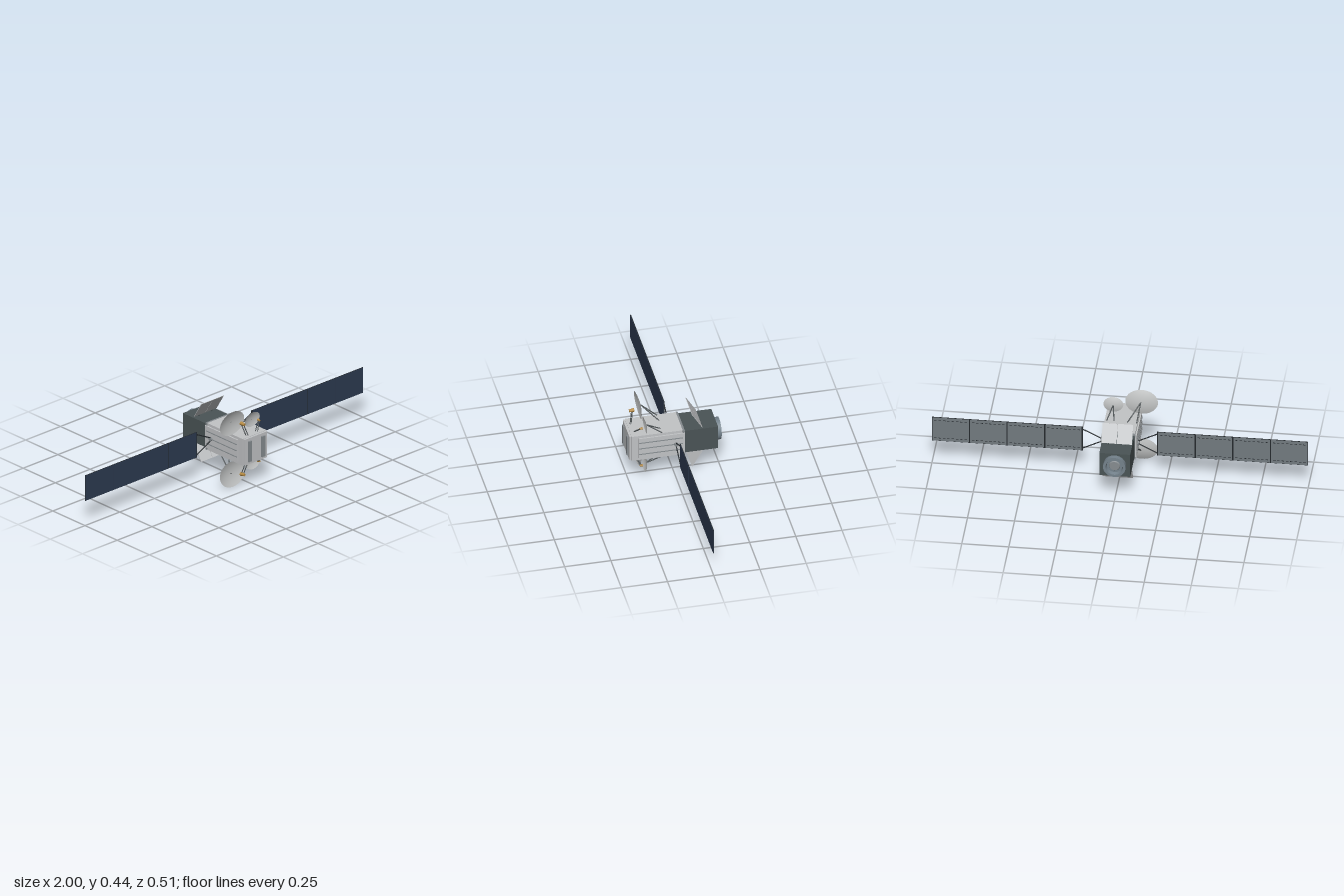
import * as THREE from 'three';

const mat = (name, color, side = THREE.FrontSide) => {
  const m = new THREE.MeshStandardMaterial({ color, side });
  m.name = name;
  return m;
};

export function createModel() {
  const model = new THREE.Group();
  model.name = 'satellite';
  const light = mat('light grey', 0xc2c4c6);
  const dishGrey = mat('dish grey', 0xc0c2c2, THREE.DoubleSide);
  const mid = mat('mid grey', 0x868c90);
  const slate = mat('dark slate', 0x4a5456);
  const steel = mat('blue steel', 0x74828c, THREE.DoubleSide);
  const black = mat('near black', 0x23282c);
  const strutGrey = mat('strut grey', 0x4c5254);
  const navy = mat('solar navy', 0x2c3a50);
  const backGrey = mat('panel back grey', 0x727a7f);
  const gold = mat('gold', 0xb58a42);
  const CY = 0.2225;

  const add = (name, geo, material, x = 0, y = 0, z = 0, parent = model) => {
    const m = new THREE.Mesh(geo, material);
    m.name = name;
    m.position.set(x, y, z);
    parent.add(m);
    return m;
  };
  // Box from its min and max on each axis
  const box = (name, material, x0, x1, y0, y1, z0, z1, parent = model) =>
    add(name, new THREE.BoxGeometry(x1 - x0, y1 - y0, z1 - z0), material,
      (x0 + x1) / 2, (y0 + y1) / 2, (z0 + z1) / 2, parent);
  // Round bar between two points
  const bar = (name, a, b, r, material, r2 = r, parent = model) => {
    const p = new THREE.Vector3(...a), q = new THREE.Vector3(...b);
    const d = q.clone().sub(p);
    const m = add(name, new THREE.CylinderGeometry(r2, r, d.length(), 12), material, 0, 0, 0, parent);
    m.position.copy(p).add(q).multiplyScalar(0.5);
    m.quaternion.setFromUnitVectors(new THREE.Vector3(0, 1, 0), d.normalize());
    return m;
  };

  // Main body, stepped nose and rear frame
  box('mainBody', light, -0.085, 0.085, 0.145, 0.3, -0.038, 0.237);
  box('nosePlate', light, -0.08, 0.08, 0.148, 0.298, 0.237, 0.249);
  box('rearFrame', mid, -0.088, 0.088, 0.145, 0.3, -0.049, -0.038);
  for (const s of [-1, 1]) {
    add('noseRib', new THREE.BoxGeometry(0.022, 0.119, 0.008), mid, s * 0.048, CY, 0.253);
    // Raised side panel with three long ribs
    add('sidePanel', new THREE.BoxGeometry(0.008, 0.126, 0.252), light, s * 0.089, CY, 0.077);
    for (const dy of [-0.036, 0, 0.036])
      add('sideRib', new THREE.BoxGeometry(0.006, 0.004, 0.237), mid, s * 0.0935, CY + dy, 0.082);
  }

  // Rear service module and engine ring
  box('serviceModule', slate, -0.082, 0.082, 0.153, 0.292, -0.23, -0.049);
  const profile = [[0.06, 0], [0.06, 0.025], [0.046, 0.025], [0.041, 0.006], [0, 0.006]];
  const ringPts = profile.flatMap(([r, h], i) => {
    const p = new THREE.Vector2(r, h);
    return i > 0 && i < 4 ? [p, p.clone()] : [p];
  });
  add('engineRing', new THREE.LatheGeometry(ringPts, 40), steel, 0, CY, -0.23).rotation.x = -Math.PI / 2;
  const hub = new THREE.CylinderGeometry(0.026, 0.03, 0.006, 32);
  add('engineCore', hub, mid, 0, CY, -0.239).rotation.x = -Math.PI / 2;

  // Solar wings
  for (const s of [-1, 1]) {
    const wing = new THREE.Group();
    wing.name = s > 0 ? 'leftWing' : 'rightWing';
    model.add(wing);
    add('wingFrame', new THREE.BoxGeometry(0.8, 0.148, 0.003), black, s * 0.6, CY, 0, wing);
    for (let i = 0; i < 4; i++) {
      const x = s * (0.3 + i * 0.2);
      add('solarCells', new THREE.BoxGeometry(0.197, 0.145, 0.0015), navy, x, CY, 0.0022, wing);
      add('panelBack', new THREE.BoxGeometry(0.193, 0.144, 0.0015), backGrey, x, CY, -0.0022, wing);
      // Dashed wiring along both long edges of the back
      for (const dy of [-0.055, 0.055])
        for (let k = 0; k < 8; k++)
          add('wiringDash', new THREE.BoxGeometry(0.013, 0.003, 0.001), black,
            x + (k - 3.5) * 0.023, CY + dy, -0.0032, wing);
    }
    // Hub and forked yoke
    bar('wingHub', [s * 0.085, CY, 0], [s * 0.102, CY, 0], 0.011, mid, 0.011, wing);
    for (const v of [-1, 1])
      bar('yokeStrut', [s * 0.096, CY + v * 0.008, 0], [s * 0.203, CY + v * 0.062, 0], 0.003, black, 0.003, wing);
    add('yokeCrossbar', new THREE.BoxGeometry(0.005, 0.148, 0.005), black, s * 0.2, CY, 0, wing);
  }

  // Unit dish bowl, scaled to an ellipse
  const dishGeo = (rx, ry, depth) => {
    const pts = [];
    for (let i = 0; i <= 10; i++) pts.push(new THREE.Vector2(i / 10, depth * ((i / 10) ** 2 - 1)));
    return new THREE.LatheGeometry(pts, 40).scale(rx, 1, ry);
  };

  // Antennas and flaps, mirrored above and below the body
  for (const v of [-1, 1]) {
    const Y = y => CY + v * (y - CY);
    const side = new THREE.Group();
    side.name = v > 0 ? 'upperAntennas' : 'lowerAntennas';
    model.add(side);
    const rod = (name, a, b, r) =>
      bar(name, [a[0], Y(a[1]), a[2]], [b[0], Y(b[1]), b[2]], r, strutGrey, r, side);

    const dish = (name, x, y, z, rx, ry, depth) => {
      add(name, dishGeo(rx, ry, depth), dishGrey, x, Y(y), z, side).rotation.x = Math.PI / 2 + v * 0.114;
    };
    dish('largeDish', -0.095, 0.37, 0.165, 0.087, 0.0705, 0.014);
    dish('smallDish', 0.055, 0.345, 0.161, 0.053, 0.043, 0.009);

    // Dish supports
    for (const x of [-0.08, -0.03]) rod('largeDishStrut', [x, 0.298, 0.063], [-0.092, 0.373, 0.152], 0.003);
    for (const x of [0.04, 0.08]) rod('smallDishStrut', [x, 0.298, 0.072], [0.055, 0.345, 0.152], 0.003);

    // Feed horns on paired struts
    for (const d of [-0.004, 0.004]) {
      rod('largeFeedStrut', [-0.035 + d, 0.298, 0.217 + d], [-0.056 + d, 0.364, 0.205 + d], 0.0025);
      rod('smallFeedStrut', [0.036 + d, 0.298, 0.213 + d], [0.078 + d / 2, 0.341, 0.186 + d / 2], 0.0025);
    }
    bar('largeFeedHorn', [-0.056, Y(0.368), 0.22], [-0.058, Y(0.37), 0.194], 0.0075, gold, 0.0105, side);
    bar('smallFeedHorn', [0.079, Y(0.341), 0.193], [0.078, Y(0.343), 0.178], 0.0045, gold, 0.0065, side);

    // Tilted two-piece flap on the service module
    for (const s of [-1, 1]) {
      add('flap', new THREE.BoxGeometry(0.08, 0.106, 0.0025), light, s * 0.041, Y(0.345), -0.1175, side)
        .rotation.x = v * 0.549;
      add('flapHinge', new THREE.BoxGeometry(0.008, 0.012, 0.004), slate, s * 0.045, Y(0.295), -0.146, side);
    }
  }
  return model;
}
